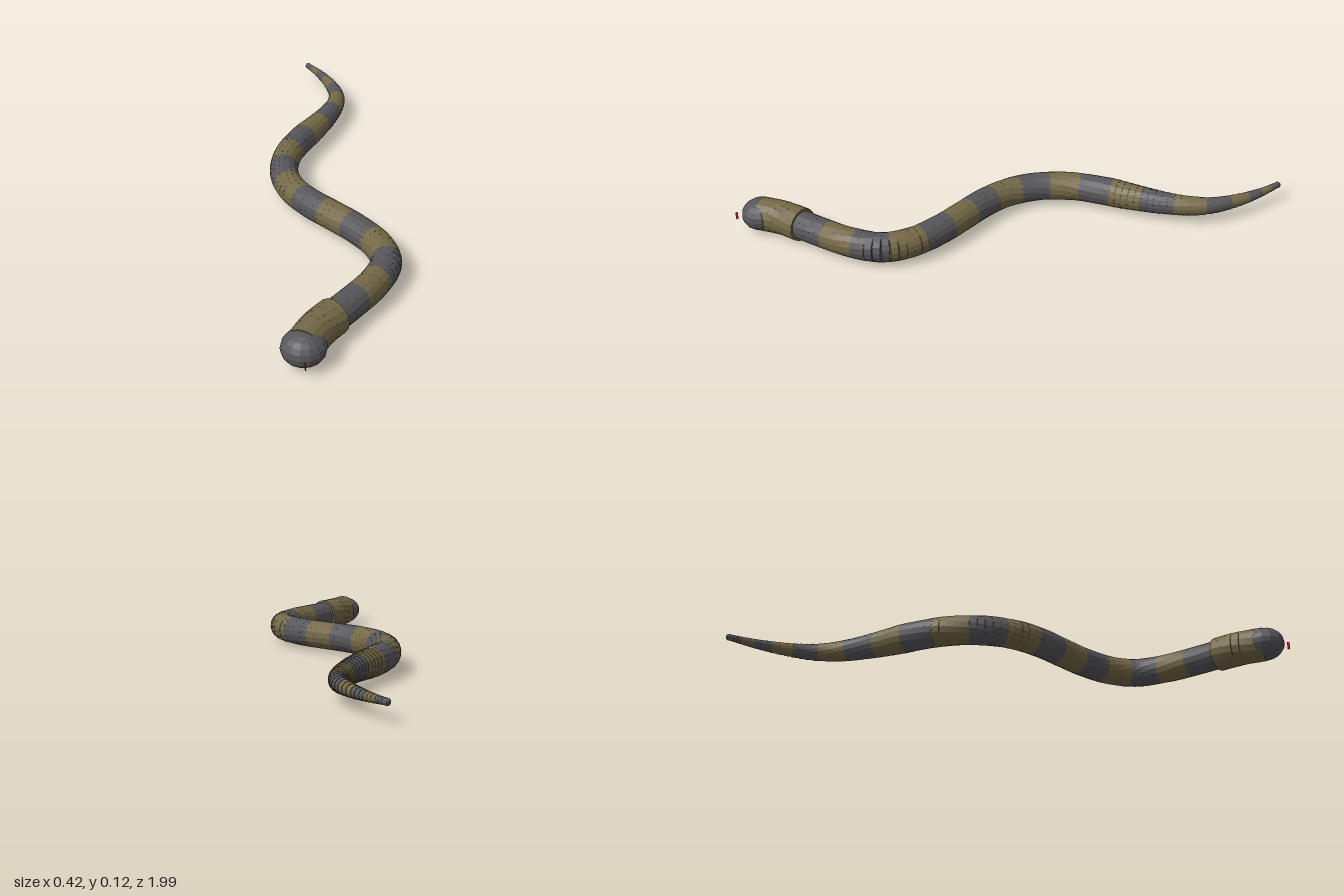
import * as THREE from 'three';

export function createModel() {
  const snake = new THREE.Group();
  snake.name = 'snake';
  const flat = (name, color) => {
    const m = new THREE.MeshStandardMaterial({ color, flatShading: true });
    m.name = name;
    return m;
  };
  const grey = flat('slate grey', 0x57575b);
  const olive = flat('olive tan', 0x746847);
  const red = flat('tongue red', 0xdc143c);
  const Y = 0.065;

  const add = (parent, name, geometry, material, x, y, z) => {
    const mesh = new THREE.Mesh(geometry, material);
    mesh.name = name;
    mesh.position.set(x, y, z);
    parent.add(mesh);
    return mesh;
  };

  // Winding centre line on the ground, from head to tail tip
  const path = new THREE.CatmullRomCurve3([
    [-0.137, 0.905], [-0.09, 0.825], [0.015, 0.71], [0.105, 0.6], [0.153, 0.495],
    [0.137, 0.395], [0.075, 0.29], [0, 0.2], [-0.075, 0.112], [-0.132, 0.015],
    [-0.156, -0.1], [-0.137, -0.225], [-0.085, -0.335], [-0.025, -0.43],
    [0.033, -0.53], [0.07, -0.62], [0.08, -0.7], [0.062, -0.8], [0.025, -0.9], [-0.018, -0.982],
  ].map(([x, z]) => new THREE.Vector3(x, Y, z)));
  path.arcLengthDivisions = 800;
  const total = path.getLength();
  const up = new THREE.Vector3(0, 1, 0);

  const bodyRadius = (z) =>
    0.052 - 0.042 * THREE.MathUtils.clamp((-0.37 - z) / 0.62, 0, 1);

  // Band lengths: thick neck, even body, then shortening towards the tail
  const bands = [0.172, ...Array(13).fill(0.1186)];
  const used = bands.reduce((a, b) => a + b, 0);
  const tail = [0.105, 0.09, 0.075, 0.06, 0.05, 0.04];
  const tailSum = tail.reduce((a, b) => a + b, 0);
  tail.forEach((l) => bands.push((l * (total - used)) / tailSum));

  // Each band is a row of short overlapping rings
  let start = 0;
  bands.forEach((length, i) => {
    const band = new THREE.Group();
    band.name = i === 0 ? 'neck' : i < 14 ? 'bodyBand' : 'tailBand';
    snake.add(band);
    const count = Math.max(3, Math.round(length / 0.024));
    const step = length / count;
    for (let k = 0; k < count; k++) {
      const u = Math.min((start + (k + 0.5) * step) / total, 1);
      const p = path.getPointAt(u);
      const r = i === 0 ? 0.061 : bodyRadius(p.z);
      const ring = add(band, 'ring', new THREE.CylinderGeometry(r, r, step * 1.12, 16),
        i % 2 ? grey : olive, p.x, p.y, p.z);
      ring.quaternion.setFromUnitVectors(up, path.getTangentAt(u));
    }
    start += length;
  });

  // Tail tip
  add(snake, 'tailTip', new THREE.SphereGeometry(0.012, 10, 8), grey, -0.018, Y, -0.982);

  // Flattened round head
  const head = add(snake, 'head', new THREE.SphereGeometry(1, 14, 10), grey, -0.137, Y, 0.908);
  head.scale.set(0.072, 0.056, 0.07);

  // Tongue just ahead of the snout
  add(snake, 'tongue', new THREE.BoxGeometry(0.004, 0.027, 0.008), red, -0.137, 0.064, 0.995);

  return snake;
}
